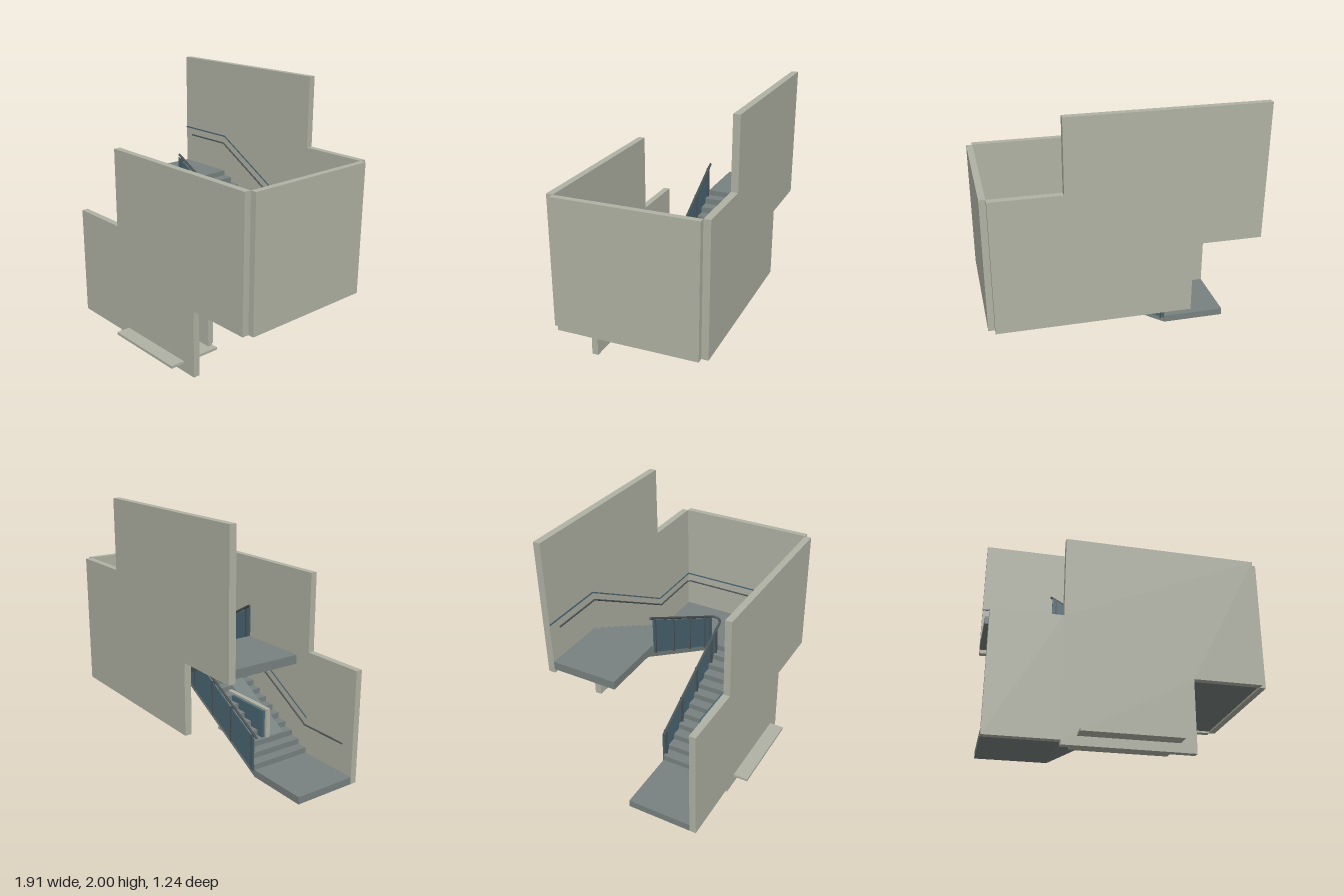
import * as THREE from 'three';

const mat = (name, color) => {
  const m = new THREE.MeshStandardMaterial({ color });
  m.name = name;
  return m;
};

export function createModel() {
  const root = new THREE.Group();
  root.name = 'staircase';
  const wall = mat('wall plaster', 0xb0b2a4);
  const slate = mat('stair slate', 0x788280);
  const glass = mat('teal glass', 0x4a6672);
  const metal = mat('dark metal', 0x4a5052);

  const add = (name, geo, material, parent = root) => {
    const m = new THREE.Mesh(geo, material);
    m.name = name;
    parent.add(m);
    return m;
  };
  // Box given by its min and max corners
  const box = (name, x0, x1, y0, y1, z0, z1, material, parent) => {
    const g = new THREE.BoxGeometry(x1 - x0, y1 - y0, z1 - z0);
    g.translate((x0 + x1) / 2, (y0 + y1) / 2, (z0 + z1) / 2);
    return add(name, g, material, parent);
  };
  // Side outline extruded between two depths
  const slab = (name, pts, z0, z1, material, parent) => {
    const shape = new THREE.Shape(pts.map(p => new THREE.Vector2(...p)));
    const g = new THREE.ExtrudeGeometry(shape, { depth: z1 - z0, bevelEnabled: false });
    g.translate(0, 0, z0);
    return add(name, g, material, parent);
  };
  // Round bar along a bent path
  const bar = (name, pts, r, material) => {
    const path = new THREE.CurvePath();
    const v = pts.map(p => new THREE.Vector3(...p));
    const grp = new THREE.Group();
    grp.name = name;
    root.add(grp);
    for (let i = 1; i < v.length; i++) {
      path.curves = [new THREE.LineCurve3(v[i - 1], v[i])];
      add(name + 'Length', new THREE.TubeGeometry(path.curves[0], 1, r, 8), material, grp);
    }
    v.forEach(p => add(name + 'Joint', new THREE.SphereGeometry(r, 8, 6).translate(p.x, p.y, p.z), material, grp));
  };

  // Stair dimensions
  const X0 = -0.475, X1 = 0.42, steps = 11;
  const tread = (X1 - X0) / steps;
  const low = 0.085, mid = 0.605, high = 1.12;
  const rise = (mid - low) / (steps + 1), slope = rise / tread;
  const lowLine = x => low + rise + slope * (x - X0);
  const highLine = x => mid + rise + slope * (X1 - x);

  // Walls
  slab('frontWall', [[-0.96, 0.03], [-0.47, 0.03], [-0.47, 0], [0.42, 0], [0.42, 0.515], [0.91, 0.515],
    [0.91, 1.485], [-0.47, 1.485], [-0.47, 0.89], [-0.96, 0.89]], 0.46, 0.51, wall);
  slab('backWall', [[-0.96, 1.03], [-0.47, 1.03], [-0.47, 0.515], [0.91, 0.515], [0.91, 1.485],
    [0.42, 1.485], [0.42, 2], [-0.96, 2]], -0.62, -0.57, wall);
  box('sideWall', 0.91, 0.955, 0.515, 1.485, -0.57, 0.46, wall);

  // Lower flight with its landing
  const lower = [[-0.96, 0.03], [-0.475, 0.03], [X1, 0.03 + slope * (X1 - X0)], [X1, mid]];
  for (let i = steps; i > 0; i--) {
    const x = X0 + tread * i, y = low + rise * i;
    if (i < steps) lower.push([x, y + rise]);
    lower.push([x, y], [x - tread, y]);
  }
  lower.push([X0, low], [-0.96, low]);
  // Drop the duplicate riser corner at the top
  lower.splice(4, 1, [X1, low + rise * steps]);
  slab('lowerFlight', lower, -0.03, 0.46, slate);

  // Upper flight with its landing
  const upper = [[X1, mid - 0.06]];
  for (let i = 0; i < steps; i++) {
    const x = X1 - tread * i, y = mid + rise * (i + 1);
    upper.push([x, y], [x - tread, y]);
  }
  upper.push([X0, high], [-0.96, high], [-0.96, 1.06], [-0.54, 1.06]);
  slab('upperFlight', upper, -0.57, -0.09, slate);

  // Middle landing
  box('middleLanding', X1, 0.91, mid - 0.075, mid, -0.57, 0.46, slate);

  // Glass balustrades on the inner edges
  for (const [name, line, zGlass, zPost] of [['lower', lowLine, -0.02, -0.035], ['upper', highLine, -0.098, -0.085]]) {
    const grp = new THREE.Group();
    grp.name = name + 'Balustrade';
    root.add(grp);
    const posts = [-0.44, -0.19, 0.05, 0.29, 0.375];
    const edges = [X0, ...posts.slice(1, 4), X1];
    for (let i = 0; i < 4; i++) {
      const a = edges[i] + 0.006, b = edges[i + 1] - 0.006;
      slab('glassPanel', [[a, line(a) - 0.06], [b, line(b) - 0.06], [b, line(b) + 0.2], [a, line(a) + 0.2]],
        zPost - 0.003, zPost + 0.003, glass, grp);
    }
    for (const x of posts)
      box('post', x - 0.006, x + 0.006, line(x) - 0.07, line(x) + 0.205,
        Math.min(zGlass, zPost) - 0.004, Math.max(zGlass, zPost) + 0.004, metal, grp);
  }
  // Inner handrail turning around the stairwell
  const inner = [[X0, lowLine(X0) + 0.21, -0.02], [X1, lowLine(X1) + 0.21, -0.02]];
  for (let i = 1; i < 8; i++) {
    const a = Math.PI * i / 8;
    inner.push([X1 + 0.04 * Math.sin(a), lowLine(X1) + 0.21 + (highLine(X1) - lowLine(X1)) * i / 8,
      -0.059 + 0.039 * Math.cos(a)]);
  }
  inner.push([X1, highLine(X1) + 0.21, -0.098], [X0, highLine(X0) + 0.21, -0.098]);
  bar('innerHandrail', inner, 0.009, metal);

  // Wall handrail
  const h = 0.235;
  bar('wallHandrail', [[-0.87, high + h, -0.555], [X0, high + h, -0.555], [X1, mid + h, -0.555],
    [0.865, mid + h, -0.555], [0.885, mid + h, -0.535], [0.885, mid + h, 0.42], [0.865, mid + h, 0.443],
    [X1, mid + h, 0.443], [X0, low + h, 0.443], [-0.87, low + h, 0.443]], 0.006, metal);

  // Thin wall trim above the handrail
  const t = 0.285, w = 0.01;
  const band = (name, pts, z0, z1) =>
    slab(name, [...pts, ...pts.slice().reverse().map(([x, y]) => [x, y + w])], z0, z1, glass);
  band('backTrim', [[-0.96, high + t], [X0, high + t], [X1, mid + t], [0.91, mid + t]], -0.57, -0.565);
  band('frontTrim', [[X0, low + t], [X1, mid + t], [0.91, mid + t]], 0.455, 0.46);
  box('sideTrim', 0.905, 0.91, mid + t, mid + t + w, -0.565, 0.455, glass);

  // Door under the lower flight, with its sill
  box('doorSill', -0.365, 0.31, 0.063, 0.083, 0.2, 0.62, wall);
  box('doorFrame', -0.31, 0.26, 0.083, 0.445, 0.205, 0.24, wall);
  box('doorLeaf', -0.29, 0.24, 0.085, 0.43, 0.183, 0.205, glass);
  slab('doorCover', [[-0.31, lowLine(-0.31)], [0.26, lowLine(0.26)], [0.26, lowLine(0.26) + 0.005],
    [-0.31, lowLine(-0.31) + 0.005]], 0.24, 0.375, slate);

  return root;
}
